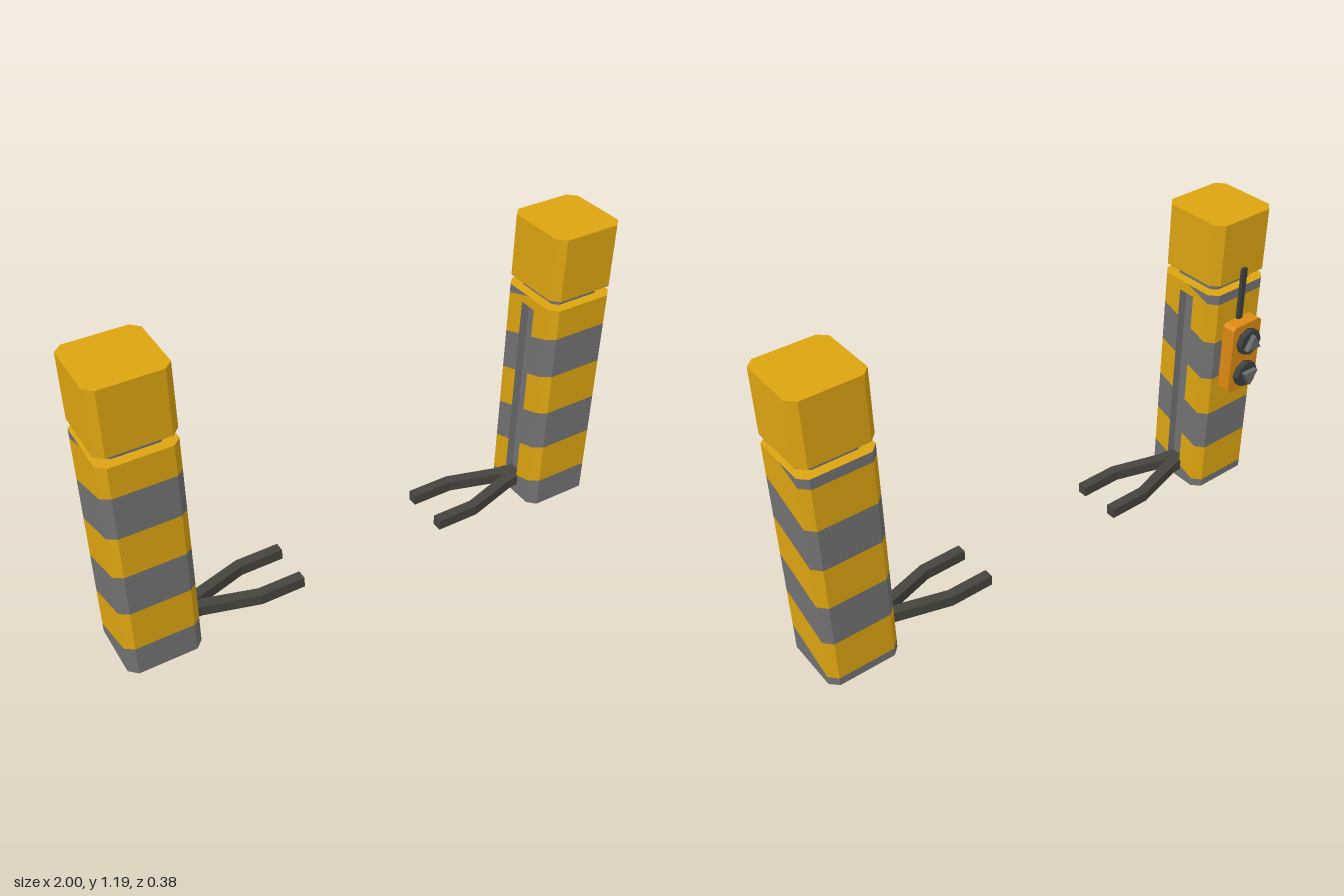
import * as THREE from 'three';

const mat = (name, color, side = THREE.FrontSide) => {
  const m = new THREE.MeshStandardMaterial({ color, side, flatShading: true });
  m.name = name;
  return m;
};

const HALF = 0.14, CUT = 0.03, CZ = 0.05, POST_H = 0.905;
const SLOT = { z0: 0.015, z1: 0.085, y0: 0.03, y1: 0.865, depth: 0.035 };

// Chamfered rectangle centred on the origin
function chamfered(hx, hy, c) {
  return new THREE.Shape([
    [-hx + c, -hy], [hx - c, -hy], [hx, -hy + c], [hx, hy - c],
    [hx - c, hy], [-hx + c, hy], [-hx, hy - c], [-hx, -hy + c],
  ].map(([x, y]) => new THREE.Vector2(x, y)));
}

const extrude = (shape, depth) => new THREE.ExtrudeGeometry(shape, { depth, bevelEnabled: false });

// Upright prism standing at height y
const prism = (shape, y, h) => extrude(shape, h).rotateX(-Math.PI / 2).translate(0, y, 0);

// Stripe height offset: level on front and back, falling toward the back on the sides
function drop(z) {
  if (z > 0.11) return -0.007 * (0.14 - z) / 0.03;
  if (z < -0.11) return -0.084 - 0.003 * (-0.11 - z) / 0.03;
  return -0.007 - 0.35 * (0.11 - z);
}

// Wall bands of one colour; the inner wall (sign s) is left open at the slot
function bands(ranges, s) {
  const zs = [0.11, SLOT.z1 - CZ, -0.005, SLOT.z0 - CZ, -0.11];
  const ring = [
    [-0.11, HALF], [0.11, HALF], ...zs.map(z => [HALF, z]),
    [0.11, -HALF], [-0.11, -HALF], ...zs.slice().reverse().map(z => [-HALF, z]),
  ];
  const pos = [];
  ring.forEach(([ax, az], i) => {
    const [bx, bz] = ring[(i + 1) % ring.length];
    const open = ax === bx && ax * s > 0 && Math.abs(az + bz) / 2 < 0.035;
    const spans = open ? [[0, SLOT.y0], [SLOT.y1, POST_H]] : [[0, POST_H]];
    for (const [low, high] of spans) for (const [r0, r1] of ranges) {
      const at = (r, z) => THREE.MathUtils.clamp(r + drop(z), low, high);
      const a0 = at(r0, az), a1 = at(r1, az), b0 = at(r0, bz), b1 = at(r1, bz);
      if (b1 - b0 > 1e-4) pos.push(ax, a0, az, bx, b0, bz, bx, b1, bz);
      if (a1 - a0 > 1e-4) pos.push(ax, a0, az, bx, b1, bz, ax, a1, az);
    }
  });
  const g = new THREE.BufferGeometry();
  g.setAttribute('position', new THREE.Float32BufferAttribute(pos, 3));
  g.computeVertexNormals();
  return g;
}

export function createModel() {
  const yellow = mat('yellow paint', 0xdca410);
  const grey = mat('grey paint', 0x727272, THREE.DoubleSide);
  const iron = mat('dark iron', 0x45443d);
  const orange = mat('orange casing', 0xdd8912);
  const black = mat('black rubber', 0x3a3f3d);
  const steel = mat('button grey', 0x666a68);

  const model = new THREE.Group();
  model.name = 'liftPosts';
  const add = (parent, name, geometry, material) => {
    const m = new THREE.Mesh(geometry, material);
    m.name = name;
    parent.add(m);
    return m;
  };

  const outline = chamfered(HALF, HALF, CUT);
  const greyRanges = [[-0.3, 0.12], [0.287, 0.453], [0.62, 0.785], [0.952, 1.2]];
  const yellowRanges = [[0.12, 0.287], [0.453, 0.62], [0.785, 0.952]];

  for (const side of [-1, 1]) {
    const s = -side; // direction of the inner face
    const post = new THREE.Group();
    post.name = side < 0 ? 'rightPost' : 'leftPost';
    post.position.set(side * 0.86, 0, CZ);
    model.add(post);

    // Striped column
    add(post, 'greyStripes', bands(greyRanges, s), grey);
    add(post, 'yellowStripes', bands(yellowRanges, s), yellow);
    add(post, 'columnTop', new THREE.ShapeGeometry(outline).rotateX(-Math.PI / 2).translate(0, POST_H, 0), yellow);
    add(post, 'columnBase', new THREE.ShapeGeometry(outline).rotateX(Math.PI / 2), grey);

    // Slot lining, open toward the inner face
    const lining = new THREE.BoxGeometry(SLOT.depth, SLOT.y1 - SLOT.y0, SLOT.z1 - SLOT.z0);
    const index = Array.from(lining.index.array);
    index.splice(s > 0 ? 0 : 6, 6);
    lining.setIndex(index);
    lining.clearGroups();
    lining.translate(s * (HALF - SLOT.depth / 2), (SLOT.y0 + SLOT.y1) / 2, 0);
    add(post, 'guideSlot', lining, grey);

    // Neck and cap
    add(post, 'neck', prism(chamfered(0.102, 0.102, 0.02), POST_H, 0.04), grey);
    add(post, 'cap', prism(outline, 0.945, 0.245), yellow);
    add(post, 'capUnderside', new THREE.ShapeGeometry(outline).rotateX(Math.PI / 2).translate(0, 0.944, 0), grey);

    // Two-pronged lifting fork
    const half = [[0.11, 0.034], [0.14, 0.042], [0.18, 0.045], [0.388, 0.106], [0.562, 0.106], [0.562, 0.066], [0.393, 0.066]];
    const fork = [
      ...half.map(([x, z]) => [x, z]), [0.175, 0],
      ...half.slice().reverse().map(([x, z]) => [x, -z]),
    ].map(([x, z]) => new THREE.Vector2(s * x, z));
    add(post, 'liftFork', prism(new THREE.Shape(fork), 0.044, 0.043), iron);
  }

  // Control box on the back of the right post
  const control = new THREE.Group();
  control.name = 'controlBox';
  control.position.set(-0.862, 0.624, -0.09);
  control.rotation.y = Math.PI;
  model.add(control);
  add(control, 'casing', extrude(chamfered(0.073, 0.148, 0.012), 0.055), orange);
  add(control, 'cable', new THREE.BoxGeometry(0.022, 0.215, 0.014).translate(0, 0.254, 0.007), black);
  for (const dir of [1, -1]) {
    const y = dir * 0.072;
    const ring = new THREE.CylinderGeometry(0.054, 0.054, 0.025, 8).rotateX(Math.PI / 2);
    add(control, dir > 0 ? 'upButtonRing' : 'downButtonRing', ring, black).position.set(0, y, 0.0675);
    const arrow = new THREE.Shape([0, 1, 2].map(i => {
      const a = dir * Math.PI / 2 + i * Math.PI * 2 / 3;
      return new THREE.Vector2(0.04 * Math.cos(a), 0.04 * Math.sin(a));
    }));
    add(control, dir > 0 ? 'upArrow' : 'downArrow', extrude(arrow, 0.02), steel).position.set(0, y, 0.08);
  }
  return model;
}
